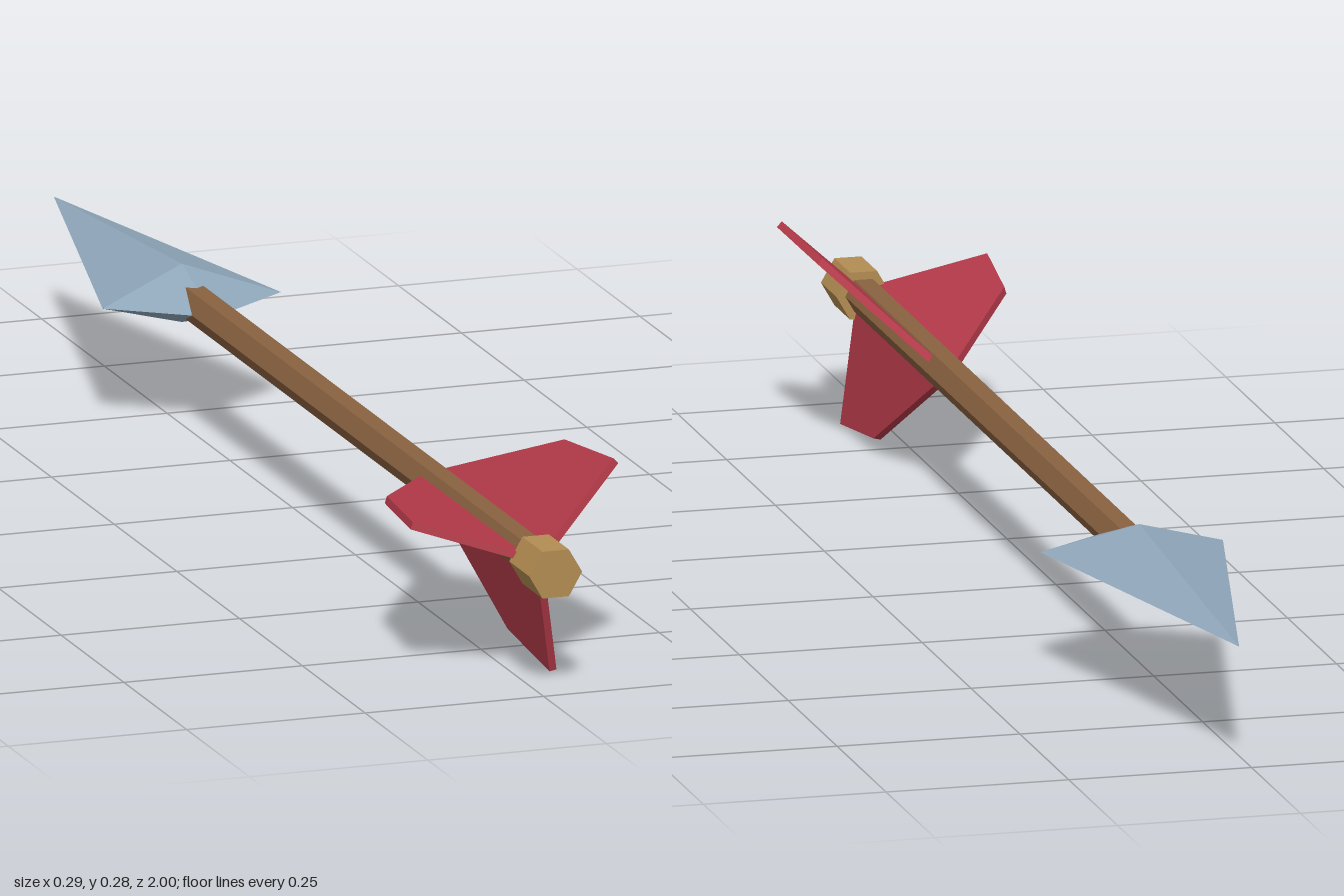
import * as THREE from 'three';

const makeMaterial = (name, color) => {
  const m = new THREE.MeshStandardMaterial({ color, flatShading: true });
  m.name = name;
  return m;
};

// Hexagonal rod along z with corners on the x axis
function hexRod(radius, z0, z1) {
  return new THREE.CylinderGeometry(radius, radius, z1 - z0, 6)
    .rotateY(Math.PI / 6)
    .rotateX(Math.PI / 2)
    .translate(0, 0, (z0 + z1) / 2);
}

// Four-sided diamond point: swept-back side barbs, top and bottom ridges
function headGeometry() {
  const tip = [0, 0, -1], tail = [0, 0, -0.36];
  const ring = [[0.125, 0, -0.45], [0, 0.04, -0.49], [-0.125, 0, -0.45], [0, -0.04, -0.49]];
  const points = [];
  ring.forEach((a, i) => {
    const b = ring[(i + 1) % 4];
    points.push(...tail, ...a, ...b, ...tip, ...b, ...a);
  });
  const g = new THREE.BufferGeometry();
  g.setAttribute('position', new THREE.Float32BufferAttribute(points, 3));
  g.computeVertexNormals();
  return g;
}

// Thin fin: outline is (distance from axis, z)
function finGeometry(angle) {
  const outline = [[0.012, 0.5], [0.15, 0.73], [0.169, 0.885], [0.02, 0.93], [0.012, 0.93]];
  const shape = new THREE.Shape(outline.map(([r, z]) => new THREE.Vector2(r, z)));
  const t = 0.01;
  return new THREE.ExtrudeGeometry(shape, { depth: t, bevelEnabled: false })
    .translate(0, 0, -t / 2)
    .rotateX(Math.PI / 2)
    .rotateZ(angle);
}

export function createModel() {
  const wood = makeMaterial('brown wood', 0x8a6240);
  const tan = makeMaterial('tan nock', 0xb38c52);
  const steel = makeMaterial('blue grey steel', 0x8fa6ba);
  const red = makeMaterial('red feather', 0xb53a49);

  const group = new THREE.Group();
  group.name = 'arrow';
  const add = (name, geometry, material) => {
    const mesh = new THREE.Mesh(geometry, material);
    mesh.name = name;
    group.add(mesh);
  };

  add('shaft', hexRod(0.025, -0.46, 0.95), wood);
  add('nock', hexRod(0.037, 0.92, 1), tan);
  add('arrowhead', headGeometry(), steel);

  // Three fins evenly spaced round the shaft
  for (let i = 0; i < 3; i++) {
    add(`fin${i + 1}`, finGeometry(THREE.MathUtils.degToRad(42.5 + i * 120)), red);
  }

  group.position.set(0.017, 0.167, 0);
  const root = new THREE.Group();
  root.add(group);
  return root;
}
